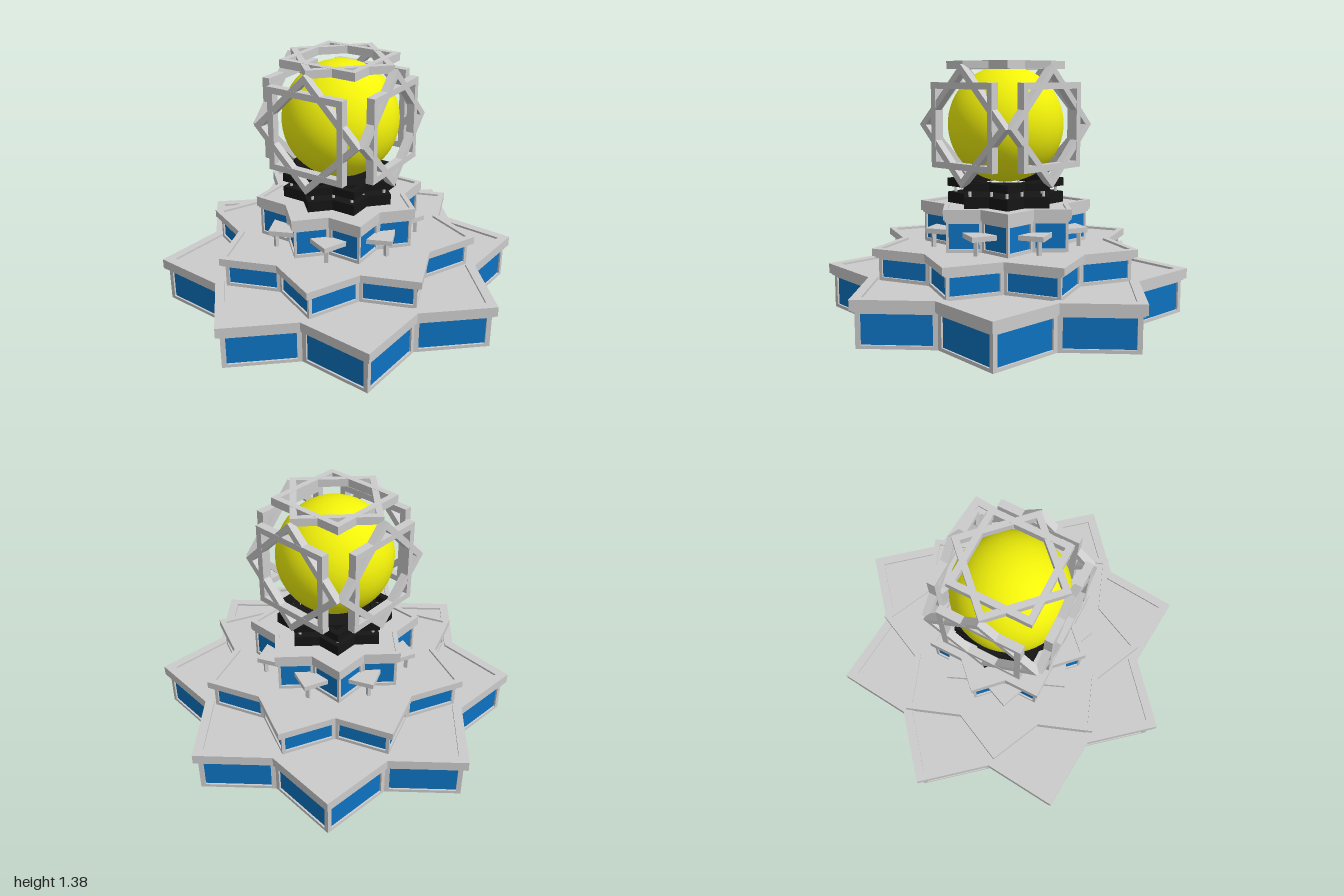
import * as THREE from 'three';

const mat = (color) => new THREE.MeshStandardMaterial({ color });
const grey = mat(0xcccccc), blue = mat(0x0d72c0), yellow = mat(0xf2f20a), black = mat(0x151515);
const VALLEY = 0.7654; // valley radius of two crossed squares, relative to the tips

// 16 corners (x, z) of an eight-pointed star
function starPoints(R, rot) {
  return Array.from({ length: 16 }, (_, i) => {
    const a = THREE.MathUtils.degToRad(rot - i * 22.5);
    const r = i % 2 ? R * VALLEY : R;
    return new THREE.Vector2(r * Math.cos(a), r * Math.sin(a));
  });
}

const flatShape = (pts) => new THREE.Shape(pts.map((p) => new THREE.Vector2(p.x, -p.y)));

function add(parent, name, geometry, material) {
  const mesh = new THREE.Mesh(geometry, material);
  mesh.name = name;
  parent.add(mesh);
  return mesh;
}

// Horizontal slab from y0 to y1
function slab(parent, name, shape, y0, y1, material) {
  const g = new THREE.ExtrudeGeometry(shape, { depth: y1 - y0, bevelEnabled: false });
  g.rotateX(-Math.PI / 2).translate(0, y0, 0);
  return add(parent, name, g, material);
}

function rect(x0, y0, x1, y1, Type = THREE.Shape) {
  return new Type([[x0, y0], [x1, y0], [x1, y1], [x0, y1]].map((p) => new THREE.Vector2(...p)));
}

// Storey: glass core, window frames, overhanging cornice with sunken roof
function tier({ name, rot, R, wall, y0, yc, y1, rim, side }) {
  const g = new THREE.Group();
  g.name = name;
  const t = 0.01, h = yc - y0;
  slab(g, 'floor', flatShape(starPoints(wall - 0.001, rot)), y0, y0 + 0.012, grey);
  slab(g, 'glass', flatShape(starPoints(wall - t * Math.SQRT2, rot)), y0 + 0.005, yc, blue);

  const pts = starPoints(wall, rot);
  const len = pts[0].distanceTo(pts[1]);
  const frame = rect(0, 0, len, h);
  frame.holes.push(rect(side, 0.018, len - side, h - 0.01, THREE.Path));
  const frameGeo = new THREE.ExtrudeGeometry(frame, { depth: t + 0.004, bevelEnabled: false });
  frameGeo.translate(0, 0, -t - 0.004);
  pts.forEach((p, i) => {
    const q = pts[(i + 1) % 16];
    const m = add(g, 'windowFrame', frameGeo, grey);
    m.position.set(p.x, y0, p.y);
    m.rotation.y = Math.atan2(p.y - q.y, q.x - p.x);
  });

  const cornice = flatShape(starPoints(R, rot));
  cornice.holes.push(flatShape(starPoints(R - rim, rot)));
  slab(g, 'cornice', cornice, yc + 0.01, y1, grey);
  slab(g, 'corniceLedge', flatShape(starPoints((R + wall) / 2, rot)), yc, yc + 0.012, grey);
  slab(g, 'roof', flatShape(starPoints(R - rim + 0.005, rot)), yc + 0.011, y1 - 0.012, grey);
  return g;
}

// Two crossed square frames, centred on the origin and facing +z
function starFrame(name, R, bar, depth, material) {
  const g = new THREE.Group();
  g.name = name;
  const s = R / Math.SQRT2, k = s - bar;
  const shape = rect(-s, -s, s, s);
  shape.holes.push(rect(-k, -k, k, k, THREE.Path));
  [0, 1].forEach((i) => {
    const d = depth - i * 0.002;
    const geo = new THREE.ExtrudeGeometry(shape, { depth: d, bevelEnabled: false });
    geo.translate(0, 0, -d / 2).rotateZ(i * Math.PI / 4);
    add(g, 'squareFrame', geo, material);
  });
  return g;
}

export function createModel() {
  const model = new THREE.Group();
  model.name = 'starPavilion';

  model.add(
    tier({ name: 'lowerTier', rot: 4.8, R: 1.003, wall: 0.972, y0: 0, yc: 0.185, y1: 0.25, rim: 0.07, side: 0.025 }),
    tier({ name: 'middleTier', rot: 25, R: 0.75, wall: 0.715, y0: 0.238, yc: 0.36, y1: 0.41, rim: 0.045, side: 0.018 }),
    tier({ name: 'upperTier', rot: 0, R: 0.467, wall: 0.447, y0: 0.398, yc: 0.56, y1: 0.625, rim: 0.035, side: 0.014 }),
  );

  // Pointed canopies on small posts in the valleys of the upper tier
  const kite = new THREE.Shape([[0.468, 0], [0.37, 0.097], [0.32, 0], [0.37, -0.097]].map((p) => new THREE.Vector2(...p)));
  for (let i = 0; i < 8; i++) {
    const canopy = new THREE.Group();
    canopy.name = 'canopy';
    slab(canopy, 'canopyRoof', kite, 0.475, 0.502, grey);
    const post = add(canopy, 'canopyPost', new THREE.BoxGeometry(0.02, 0.08, 0.02), grey);
    post.position.set(0.42, 0.437, 0);
    canopy.rotation.y = (i + 0.5) * Math.PI / 4;
    model.add(canopy);
  }

  // Pedestal: black star plate with a ring of short posts
  slab(model, 'pedestalPlate', flatShape(starPoints(0.318, 0)), 0.61, 0.672, black);
  const postGeo = new THREE.CylinderGeometry(0.008, 0.008, 0.04, 8);
  starPoints(0.275, 0).forEach((p) => {
    add(model, 'pedestalPost', postGeo, grey).position.set(p.x, 0.687, p.y);
  });

  // Globe
  const cy = 1.043;
  add(model, 'globe', new THREE.SphereGeometry(0.315, 48, 32), yellow).position.y = cy;

  // Star frames on the six sides of the globe, the lowest one black
  const off = 0.317, H = Math.PI / 2;
  const sides = [
    ['frontFrame', 0, 0, 0, 0, off],
    ['backFrame', 0, Math.PI, 0, 0, -off],
    ['leftFrame', 0, H, off, 0, 0],
    ['rightFrame', 0, -H, -off, 0, 0],
    ['topFrame', -H, 0, 0, off, 0],
    ['bottomFrame', H, 0, 0, -off, 0],
  ];
  for (const [name, rx, ry, x, y, z] of sides) {
    const f = starFrame(name, 0.32, 0.034, 0.044, name === 'bottomFrame' ? black : grey);
    f.rotation.set(rx, ry, 0);
    f.position.set(x, cy + y, z);
    model.add(f);
  }
  return model;
}
